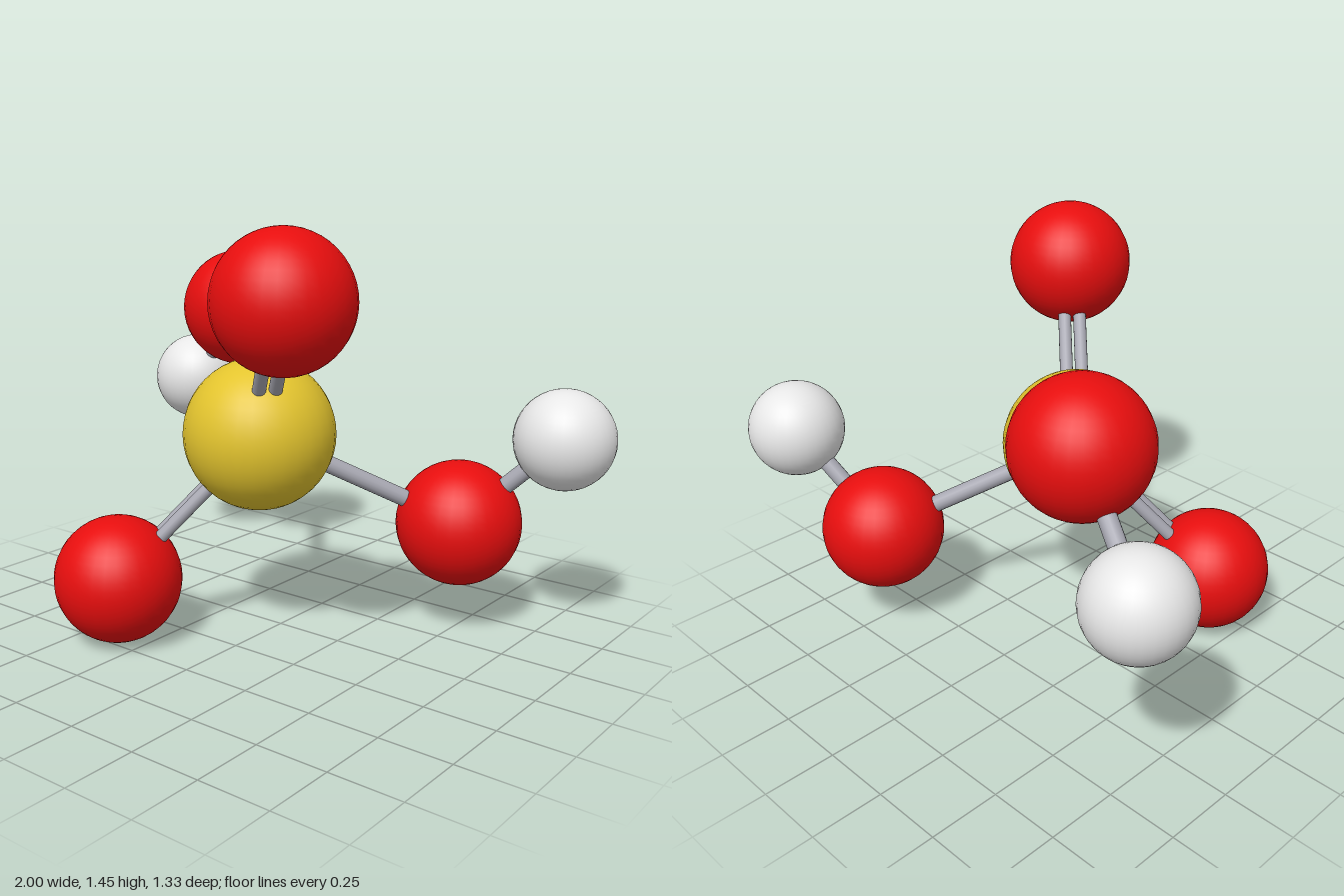
import * as THREE from 'three';

const material = (name, color) => {
  const m = new THREE.MeshStandardMaterial({ color });
  m.name = name;
  return m;
};

export function createModel() {
  const gold = material('gold', 0xe3c42e);
  const red = material('red', 0xe80e0e);
  const white = material('white', 0xebebeb);
  const grey = material('grey', 0xa8a8b2);

  const model = new THREE.Group();
  model.name = 'molecule';
  const UP = new THREE.Vector3(0, 1, 0);
  const center = new THREE.Vector3(0, 0.727, 0.116);

  const addAtom = (name, position, radius, mat) => {
    const atom = new THREE.Mesh(new THREE.SphereGeometry(radius, 32, 24), mat);
    atom.name = name;
    atom.position.copy(position);
    model.add(atom);
  };

  // A rod running between two atom centres, optionally shifted sideways
  const addRod = (name, from, to, radius, shift = new THREE.Vector3()) => {
    const dir = to.clone().sub(from);
    const rod = new THREE.Mesh(new THREE.CylinderGeometry(radius, radius, dir.length(), 16), grey);
    rod.name = name;
    rod.position.copy(from).add(to).multiplyScalar(0.5).add(shift);
    rod.quaternion.setFromUnitVectors(UP, dir.normalize());
    model.add(rod);
  };

  addAtom('sulfurAtom', center, 0.26, gold);

  // The two halves repeat under a half turn about the z axis through the centre
  for (const [side, s] of [['left', 1], ['right', -1]]) {
    const place = (x, y, z) => new THREE.Vector3(s * x, s * y, z).add(center);

    // Front oxygen with its double bond, the two rods side by side horizontally
    const oxygen = place(0.36, 0.504, 0.331);
    addAtom(side + 'FrontOxygen', oxygen, 0.22, red);
    const sideways = oxygen.clone().sub(center).cross(UP).normalize();
    for (const k of [-1, 1]) {
      addRod(side + 'DoubleBond', center, oxygen, 0.023, sideways.clone().multiplyScalar(k * 0.027));
    }

    // Back oxygen and hydrogen on single bonds
    const backOxygen = place(0.496, -0.34, -0.495);
    const hydrogen = place(0.826, -0.015, -0.609);
    addAtom(side + 'BackOxygen', backOxygen, 0.22, red);
    addAtom(side + 'Hydrogen', hydrogen, 0.173, white);
    addRod(side + 'SingleBond', center, backOxygen, 0.03);
    addRod(side + 'HydrogenBond', backOxygen, hydrogen, 0.03);
  }

  return model;
}
